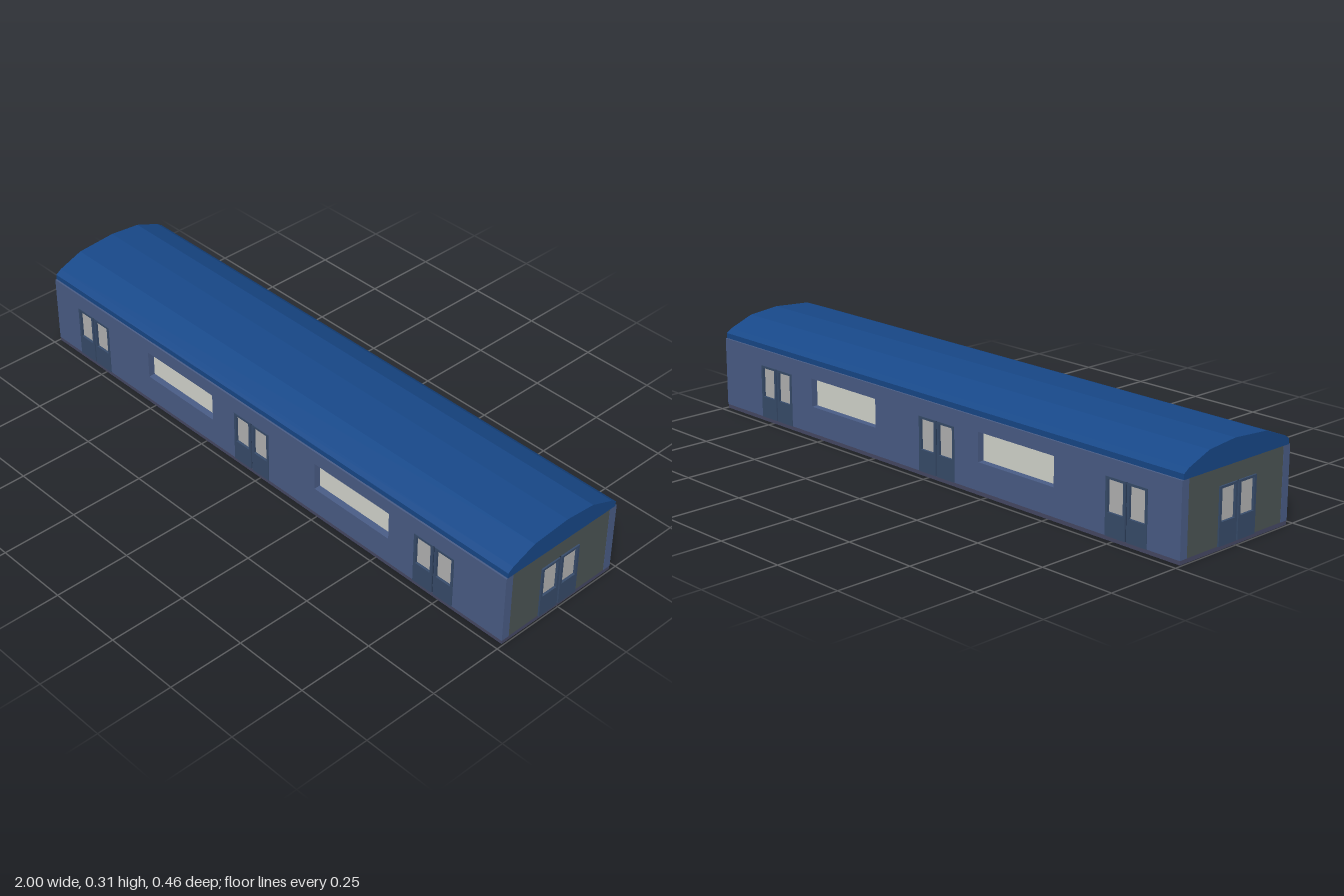
import * as THREE from 'three';

const FLOOR = 0.013, WALL_TOP = 0.24, DOOR_TOP = 0.187, DOOR_HALF = 0.077, THICK = 0.028;

const material = (color) => new THREE.MeshStandardMaterial({ color, flatShading: true });
const mats = {
  wall: material(0x4b5e88), endWall: material(0x4d5656), roof: material(0x18498a),
  door: material(0x384d6c), seam: material(0x1e2c44), doorPane: material(0xb6b6b6),
  window: material(0xd8dad2), base: material(0x474a66),
};

function addMesh(parent, name, geometry, mat, x = 0, y = 0, z = 0) {
  const mesh = new THREE.Mesh(geometry, mat);
  mesh.name = name;
  mesh.position.set(x, y, z);
  parent.add(mesh);
  return mesh;
}

function rect(target, x0, x1, y0, y1) {
  target.moveTo(x0, y0);
  target.lineTo(x1, y0);
  target.lineTo(x1, y1);
  target.lineTo(x0, y1);
  target.closePath();
  return target;
}

const extrude = (shape, depth) => new THREE.ExtrudeGeometry(shape, { depth, bevelEnabled: false });

// Double door: two leaves with glazed openings and a dark centre seam; outside faces +z
function makeDoor(x) {
  const door = new THREE.Group();
  door.name = 'doubleDoor';
  door.position.x = x;
  for (const side of [-1, 1]) {
    const leaf = rect(new THREE.Shape(), -0.037, 0.037, FLOOR, DOOR_TOP);
    leaf.holes.push(rect(new THREE.Path(), -0.0285, 0.0285, 0.083, 0.18));
    addMesh(door, 'doorLeaf', extrude(leaf, THICK + 0.002), mats.door, side * 0.04);
    addMesh(door, 'doorPane', new THREE.BoxGeometry(0.058, 0.098, 0.006), mats.doorPane, side * 0.04, 0.1315, 0.019);
  }
  addMesh(door, 'doorSeam', new THREE.BoxGeometry(0.007, DOOR_TOP - FLOOR, 0.02), mats.seam, 0, (DOOR_TOP + FLOOR) / 2, 0.015);
  return door;
}

// Wall panel with door notches and window openings; inner face z = 0, outer face z = THICK
function makeWall(name, halfLength, doors, windows, mat) {
  const wall = new THREE.Group();
  wall.name = name;
  const shape = new THREE.Shape();
  shape.moveTo(-halfLength, FLOOR);
  for (const x of doors) {
    shape.lineTo(x - DOOR_HALF, FLOOR);
    shape.lineTo(x - DOOR_HALF, DOOR_TOP);
    shape.lineTo(x + DOOR_HALF, DOOR_TOP);
    shape.lineTo(x + DOOR_HALF, FLOOR);
  }
  shape.lineTo(halfLength, FLOOR);
  shape.lineTo(halfLength, WALL_TOP);
  shape.lineTo(-halfLength, WALL_TOP);
  shape.closePath();
  for (const x of windows) {
    shape.holes.push(rect(new THREE.Path(), x - 0.154, x + 0.154, 0.102, 0.195));
    addMesh(wall, 'windowPane', new THREE.BoxGeometry(0.31, 0.095, 0.006), mats.window, x, 0.1485, 0.003);
  }
  addMesh(wall, 'wallPanel', extrude(shape, THICK), mat);
  for (const x of doors) wall.add(makeDoor(x));
  return wall;
}

export function createModel() {
  const model = new THREE.Group();
  model.name = 'railCarriage';

  // Floor slab
  addMesh(model, 'floor', new THREE.BoxGeometry(1.99, FLOOR, 0.454), mats.base, 0, FLOOR / 2, 0);

  // Long side walls: openings share the same x on both sides
  const doors = [-0.8, -0.037, 0.728], windows = [-0.37, 0.395];
  const mirror = (list) => list.map((x) => -x).reverse();
  const front = makeWall('frontWall', 0.996, doors, windows, mats.wall);
  front.position.z = 0.2;
  const back = makeWall('backWall', 0.996, mirror(doors), mirror(windows), mats.wall);
  back.position.z = -0.2;
  back.rotation.y = Math.PI;
  model.add(front, back);

  // End walls between the side walls
  for (const side of [-1, 1]) {
    const end = makeWall('endWall', 0.2, [-side * 0.0035], [], mats.endWall);
    end.position.x = side * 0.967;
    end.rotation.y = side * Math.PI / 2;
    // the end door stands proud of its wall
    end.children[1].position.z = 0.003;
    model.add(end);
  }

  // Faceted arched roof
  const profile = [[0.222, 0.24], [0.222, 0.257], [0.203, 0.27], [0.12, 0.302], [0.013, 0.312],
    [-0.12, 0.302], [-0.203, 0.27], [-0.222, 0.257], [-0.222, 0.24]];
  const roofShape = new THREE.Shape(profile.map(([z, y]) => new THREE.Vector2(z, y)));
  const roof = addMesh(model, 'roof', extrude(roofShape, 1.992), mats.roof, -0.996, 0, 0);
  roof.rotation.y = Math.PI / 2;

  return model;
}
